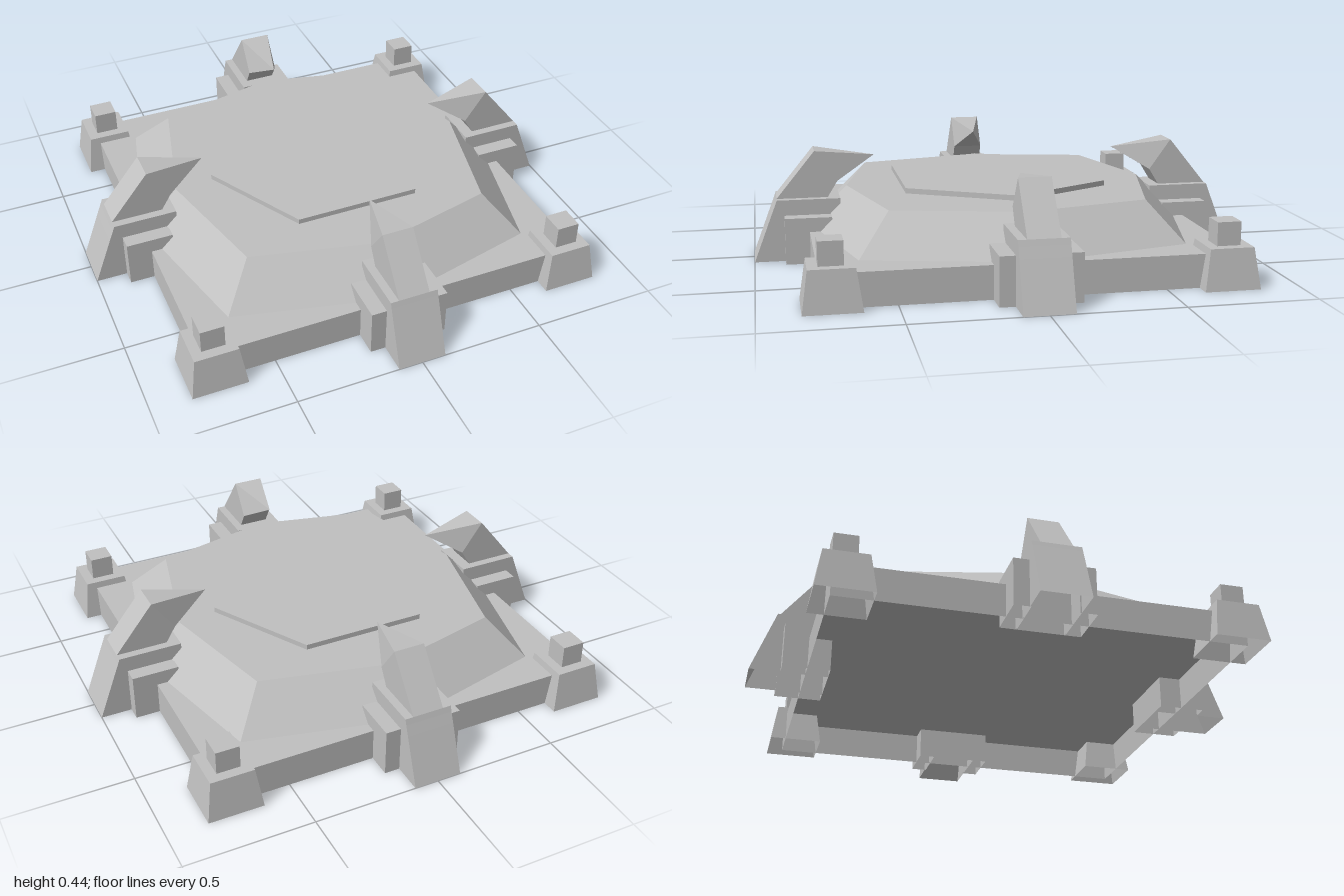
import * as THREE from 'three';

const stone = new THREE.MeshStandardMaterial({ color: 0xc0c0c0, side: THREE.DoubleSide });
stone.name = 'grey';

// Rings of [x, y, z] corners, counter-clockwise from above, joined by flat faces; open underneath
function loft(name, rings, cap = true) {
  const p = [];
  const n = rings[0].length;
  for (let r = 0; r < rings.length - 1; r++) {
    for (let i = 0; i < n; i++) {
      const j = (i + 1) % n;
      const [a, b, c, d] = [rings[r][i], rings[r][j], rings[r + 1][j], rings[r + 1][i]];
      p.push(...a, ...b, ...c, ...a, ...c, ...d);
    }
  }
  const top = rings[rings.length - 1];
  if (cap) for (let i = 1; i < n - 1; i++) p.push(...top[0], ...top[i], ...top[i + 1]);
  const g = new THREE.BufferGeometry();
  g.setAttribute('position', new THREE.Float32BufferAttribute(p, 3));
  g.computeVertexNormals();
  const m = new THREE.Mesh(g, stone);
  m.name = name;
  return m;
}

// Four corners: inner edge at xIn/yIn, outer edge at xOut/yOut
const section = (xIn, yIn, xOut, yOut, z1, z0 = -z1) => [
  [xOut, yOut, z1], [xOut, yOut, z0], [xIn, yIn, z0], [xIn, yIn, z1],
];
const square = (half, y) => section(-half, y, half, y, half);

// Square with its sides bowed out to a point
const bowed = (corner, mid, y) => [
  [corner, y, corner], [mid, y, 0], [corner, y, -corner], [0, y, -mid],
  [-corner, y, -corner], [-mid, y, 0], [-corner, y, corner], [0, y, mid],
];
const hexagon = (y) => [
  [0.47, y, 0], [0.25, y, -0.405], [-0.25, y, -0.405],
  [-0.47, y, 0], [-0.25, y, 0.405], [0.25, y, 0.405],
];

function makeClaw() {
  const claw = new THREE.Group();
  claw.name = 'claw';
  // Sloped leg with an overhanging inner ledge
  claw.add(loft('clawLeg', [
    section(0.69, 0, 1, 0, 0.095),
    section(0.69, 0.187, 0.929, 0.187, 0.095),
    section(0.652, 0.228, 0.913, 0.228, 0.095),
    section(0.652, 0.25, 0.905, 0.25, 0.095),
  ]));
  // Buttress on each side of the leg
  for (const [z1, z0] of [[0.155, 0.09], [-0.09, -0.155]]) {
    claw.add(loft('clawButtress', [
      section(0.69, 0, 0.877, 0, z1, z0),
      section(0.69, 0.187, 0.877, 0.187, z1, z0),
    ]));
  }
  // Horn bending inward to a point
  claw.add(loft('clawHorn', [
    section(0.7, 0.25, 0.905, 0.25, 0.062),
    section(0.66, 0.315, 0.75, 0.44, 0.062),
    section(0.505, 0.408, 0.505, 0.408, 0),
  ], false));
  return claw;
}

export function createModel() {
  const model = new THREE.Group();
  model.name = 'platform';

  model.add(loft('baseSlab', [square(0.78, 0), square(0.78, 0.13)]));
  model.add(loft('slopedDeck', [bowed(0.625, 0.775, 0.13), bowed(0.5, 0.62, 0.283)]));
  model.add(loft('hexagonPad', [hexagon(0.292), hexagon(0.313)]));

  // Tapered corner posts with a cube on top
  for (const x of [-0.735, 0.735]) {
    for (const z of [-0.735, 0.735]) {
      const post = new THREE.Group();
      post.name = 'cornerPost';
      post.add(loft('postBase', [square(0.108, 0), square(0.085, 0.157)]));
      post.add(loft('postCube', [square(0.046, 0.157), square(0.046, 0.248)]));
      post.position.set(x, 0, z);
      model.add(post);
    }
  }

  // One claw on each side
  for (let i = 0; i < 4; i++) {
    const claw = makeClaw();
    claw.rotation.y = i * Math.PI / 2;
    model.add(claw);
  }
  return model;
}
